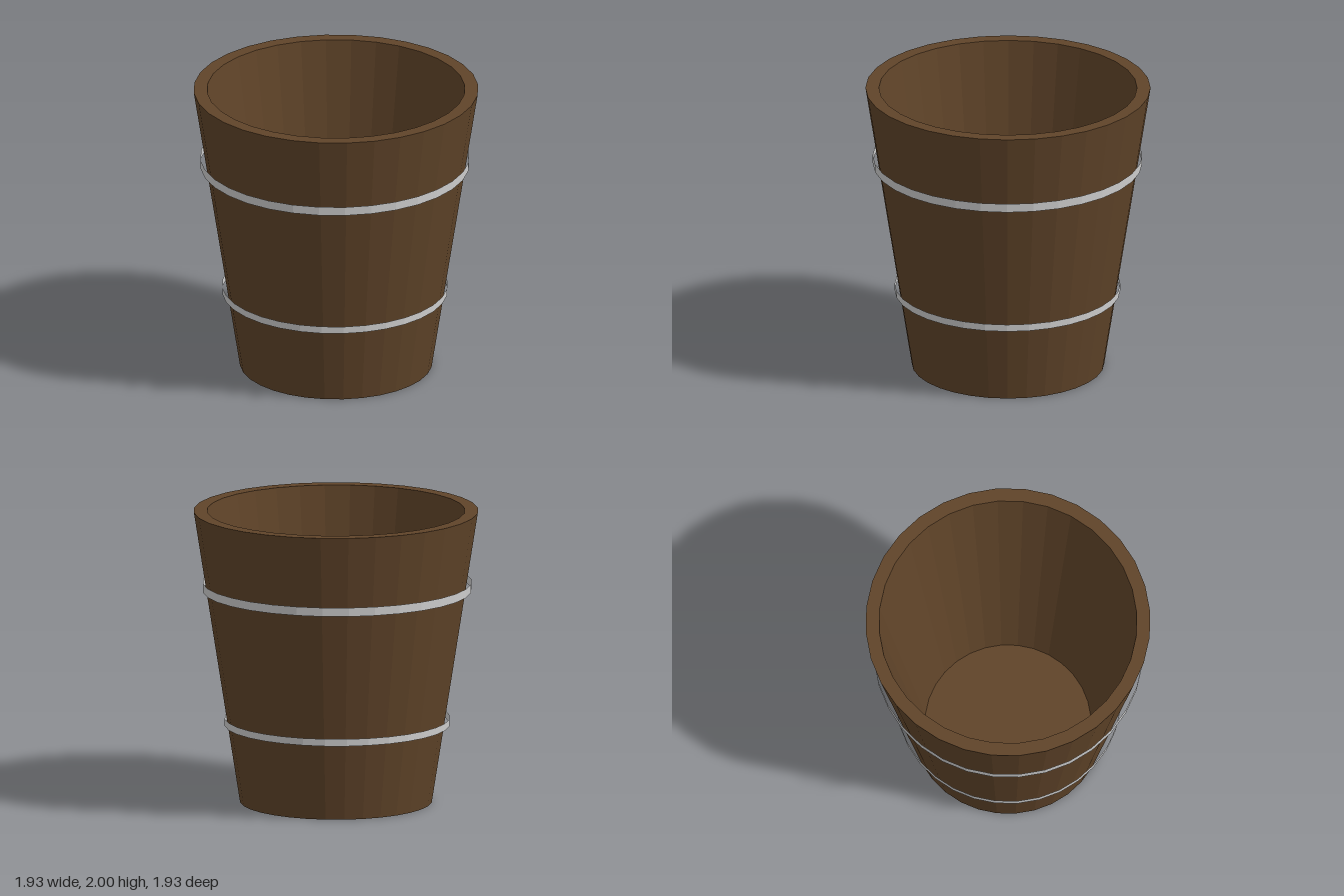
import * as THREE from 'three';

const SIDES = 32;

export function createModel() {
  const wood = new THREE.MeshStandardMaterial({ color: 0x604429, flatShading: true });
  const metal = new THREE.MeshStandardMaterial({ color: 0xcccccc, flatShading: true, side: THREE.DoubleSide });
  const model = new THREE.Group();
  model.name = 'bucket';

  // Tapered wooden wall with flat rim, hollow inside and thin floor
  const profile = [
    [0, 0], [0.65, 0], [0.963, 2], [0.872, 2], [0.561, 0.01], [0, 0.01],
  ].map(([r, y]) => new THREE.Vector2(r, y));
  const body = new THREE.Mesh(new THREE.LatheGeometry(profile, SIDES), wood);
  body.name = 'woodenBody';
  model.add(body);

  // Thin metal hoops, standing slightly clear of the wall
  const addHoop = (name, radius, bottom, top) => {
    const geometry = new THREE.CylinderGeometry(radius, radius, top - bottom, SIDES, 1, true);
    const hoop = new THREE.Mesh(geometry, metal);
    hoop.name = name;
    hoop.position.set(-0.008, (bottom + top) / 2, -0.003);
    model.add(hoop);
  };
  addHoop('upperHoop', 0.91, 1.45, 1.51);
  addHoop('lowerHoop', 0.762, 0.527, 0.576);

  return model;
}
